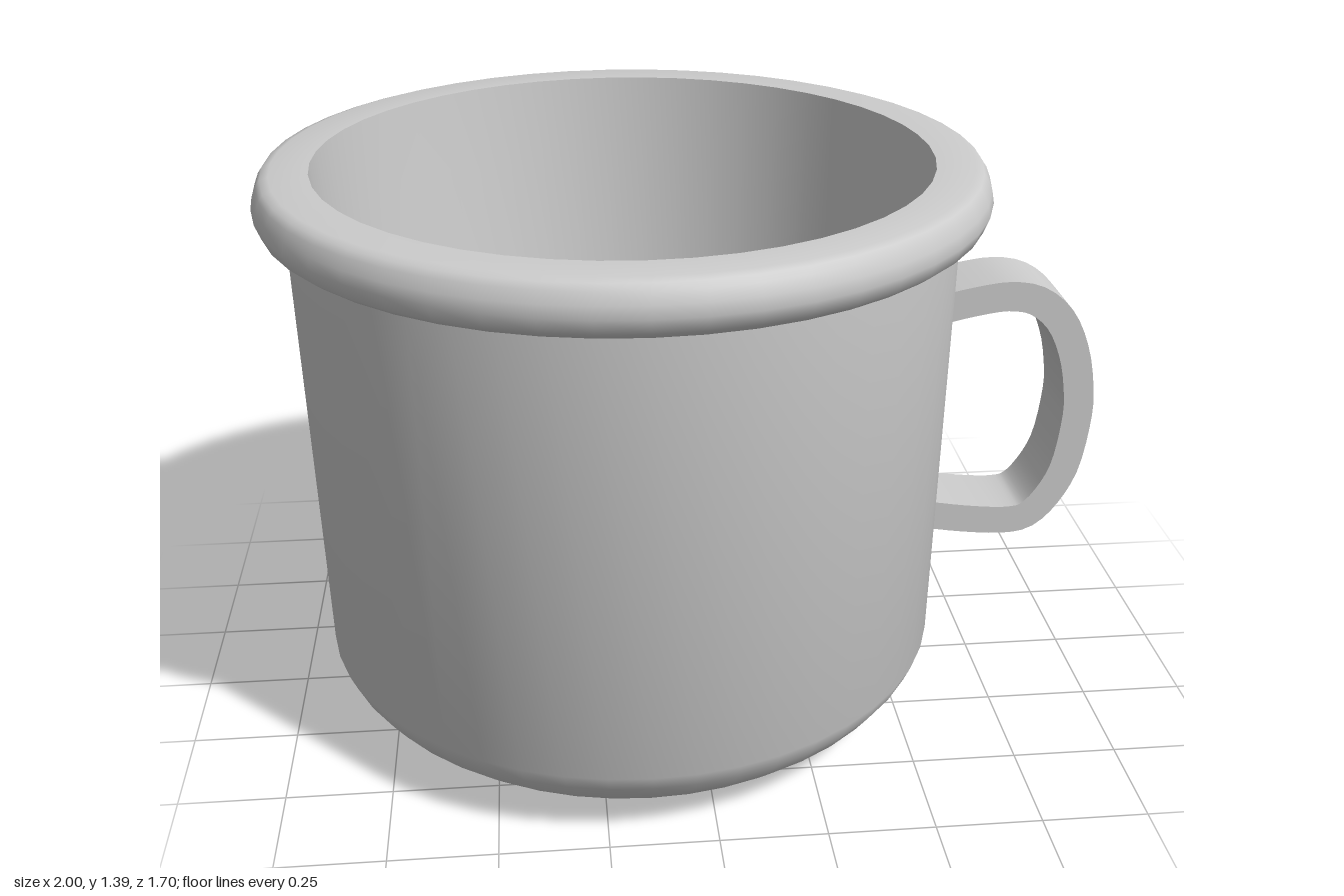
import * as THREE from 'three';
import { toCreasedNormals } from 'three/addons/utils/BufferGeometryUtils.js';

const CUP_X = -0.15;   // axis of the cup, offset to leave room for the handle
const SEGMENTS = 48;
const CREASE = 0.75;
const material = new THREE.MeshStandardMaterial({ color: 0xcccccc });

const vectors = (pairs) => pairs.map(([x, y]) => new THREE.Vector2(x, y));

function lathe(name, profile) {
  const geometry = toCreasedNormals(new THREE.LatheGeometry(vectors(profile), SEGMENTS), CREASE);
  const mesh = new THREE.Mesh(geometry, material);
  mesh.name = name;
  mesh.position.x = CUP_X;
  return mesh;
}

// Flat strap of constant thickness following a centre line, centred on z = 0
function strap(name, path, thickness, width) {
  const curve = new THREE.SplineCurve(vectors(path));
  const steps = 40;
  const outer = [], inner = [];
  for (let i = 0; i <= steps; i++) {
    const p = curve.getPoint(i / steps);
    const t = curve.getTangent(i / steps);
    const offset = new THREE.Vector2(-t.y, t.x).multiplyScalar(thickness / 2);
    outer.push(p.clone().add(offset));
    inner.unshift(p.clone().sub(offset));
  }
  const shape = new THREE.Shape([...outer, ...inner]);
  const geometry = new THREE.ExtrudeGeometry(shape, { depth: width, bevelEnabled: false });
  geometry.translate(0, 0, -width / 2);
  const mesh = new THREE.Mesh(toCreasedNormals(geometry, CREASE), material);
  mesh.name = name;
  return mesh;
}

export function createModel() {
  const group = new THREE.Group();
  group.name = 'mug';

  // Shallow domed underside, meeting the wall at a crisp edge
  group.add(lathe('base', [[0, 0], [0.25, 0.003], [0.42, 0.014], [0.62, 0.04]]));

  // Outside: rounded lower edge and slightly flared wall
  group.add(lathe('outerWall', [
    [0.62, 0.04], [0.665, 0.065], [0.71, 0.105], [0.743, 0.15], [0.76, 0.19], [0.78, 1.26],
  ]));

  // Thick rolled lip with a flat top
  group.add(lathe('rim', [
    [0.775, 1.26], [0.79, 1.261], [0.815, 1.268], [0.836, 1.284], [0.849, 1.318],
    [0.844, 1.345], [0.834, 1.37], [0.824, 1.384], [0.805, 1.39], [0.717, 1.39],
  ]));

  // Inside: wall narrowing towards a softly rounded floor
  group.add(lathe('innerWall', [
    [0.717, 1.39], [0.605, 0.2], [0.595, 0.15], [0.575, 0.115], [0.54, 0.1], [0, 0.095],
  ]));

  // Rounded D-shaped handle, both ends sunk into the wall
  group.add(strap('handle', [
    [0.6, 1.01], [0.69, 1.029], [0.77, 1.038], [0.84, 1.022], [0.9, 0.968], [0.94, 0.88],
    [0.96, 0.78], [0.962, 0.7], [0.945, 0.58], [0.91, 0.5], [0.86, 0.442], [0.8, 0.428],
    [0.7, 0.436], [0.6, 0.452],
  ], 0.075, 0.176));

  return group;
}
